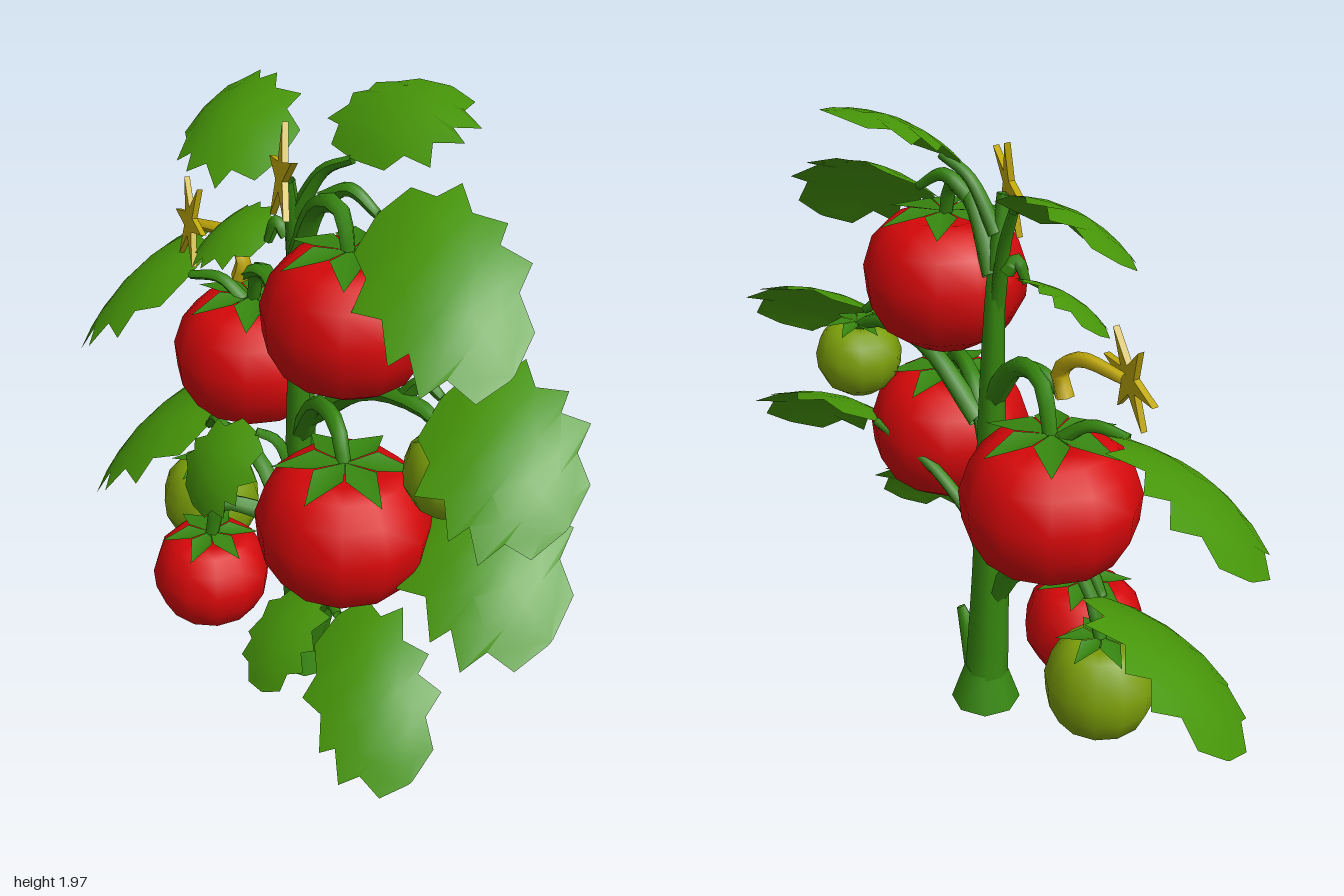
import * as THREE from 'three';
import { toCreasedNormals } from 'three/addons/utils/BufferGeometryUtils.js';

const mat = (name, color, side = THREE.FrontSide) => Object.assign(new THREE.MeshStandardMaterial({ color, side }), { name });
const V = (p) => new THREE.Vector3(...p);
const { lerp } = THREE.MathUtils;

// Tube whose radius shrinks steadily along its path
function taperedTube(points, r0, r1, sides = 6, steps = 10) {
  const curve = new THREE.CatmullRomCurve3(points);
  const geo = new THREE.TubeGeometry(curve, steps, 1, sides);
  const pos = geo.attributes.position;
  const p = new THREE.Vector3();
  for (let i = 0; i < pos.count; i++) {
    const t = Math.floor(i / (sides + 1)) / steps;
    const c = curve.getPointAt(t);
    p.fromBufferAttribute(pos, i).sub(c).multiplyScalar(lerp(r0, r1, t)).add(c);
    pos.setXYZ(i, p.x, p.y, p.z);
  }
  geo.computeVertexNormals();
  return geo;
}

function indexedGeometry(verts, index) {
  const geo = new THREE.BufferGeometry();
  geo.setAttribute('position', new THREE.Float32BufferAttribute(verts, 3));
  geo.setIndex(index);
  return geo;
}

// Jagged half leaf: teeth alternate between lobe tips and notches
const ROWS = 10;
function leafEdge(i) {
  const m = i / ROWS;
  const swell = 0.58 * (1 - Math.pow(Math.abs(2 * m - 1), 3));
  const tooth = i % 2 === 1;
  const v = i === 0 || i === ROWS ? 0.02 : swell * (tooth ? 1 : 0.76);
  const lean = i > 0 && i < 4 ? -0.06 : 0.05;
  return [m, m + (tooth ? lean : 0), v];
}

// Leaf blade from base to tip; side sets its width and tilt
function leafGeometry(base, tip, side) {
  const along = tip.clone().sub(base);
  const n = new THREE.Vector3().crossVectors(side, along).normalize();
  if (n.y < 0) n.negate();
  const verts = [], index = [];
  for (const sign of [-1, 1]) {
    const start = verts.length / 3;
    for (let i = 0; i <= ROWS; i++) {
      const [m, eu, ev] = leafEdge(i);
      for (const c of [0, 0.5, 1]) {
        const u = lerp(m, eu, c), v = ev * c;
        const lift = along.length() * 0.62 * u * (1 - u) - 0.34 * v * v * side.length();
        verts.push(...base.clone().addScaledVector(along, u).addScaledVector(side, v * sign).addScaledVector(n, lift));
      }
    }
    for (let i = 0; i < ROWS; i++) for (let j = 0; j < 2; j++) {
      const a = start + i * 3 + j, d = a + 3;
      if (sign > 0) index.push(a, a + 1, d, a + 1, d + 1, d);
      else index.push(a, d, a + 1, a + 1, d, d + 1);
    }
  }
  return toCreasedNormals(indexedGeometry(verts, index), 0.45);
}

// Six broad pointed sepals on a unit fruit
function calyxGeometry() {
  const verts = [], index = [];
  for (let k = 0; k < 6; k++) {
    const a = (k / 6) * Math.PI * 2;
    const put = (r, da, y) => verts.push(r * Math.cos(a + da), y, r * Math.sin(a + da));
    put(0, 0, 1.06);
    put(0.4, -0.5, 1.1);
    put(0.82, 0, 0.95);
    put(0.4, 0.5, 1.1);
    index.push(k * 4, k * 4 + 2, k * 4 + 1, k * 4, k * 4 + 3, k * 4 + 2);
  }
  const geo = indexedGeometry(verts, index);
  geo.computeVertexNormals();
  return geo;
}

export function createModel() {
  const leafGreen = mat('leaf green', 0x479709, THREE.DoubleSide);
  const stemGreen = mat('stem green', 0x36860f, THREE.DoubleSide);
  const ripeRed = mat('ripe red', 0xd60709);
  const unripeGreen = mat('unripe green', 0x7b9e0a);
  const petalYellow = mat('petal yellow', 0xc4ac0c);

  const model = new THREE.Group();
  model.name = 'tomatoPlant';
  const add = (name, geometry, material, parent = model) => {
    const mesh = new THREE.Mesh(geometry, material);
    mesh.name = name;
    parent.add(mesh);
    return mesh;
  };

  // Main stem and its flared foot
  const stemPath = [[0.02, 0.1, -0.06], [0.01, 0.5, -0.05], [0, 1.1, -0.05], [-0.02, 1.5, -0.05], [-0.01, 1.73, -0.01]];
  add('mainStem', taperedTube(stemPath.map(V), 0.07, 0.02, 8, 16), stemGreen);
  const foot = add('stemFoot', new THREE.CylinderGeometry(0.068, 0.112, 0.13, 8), stemGreen);
  foot.position.set(0.025, 0.065, -0.06);

  // Pointed shoots on the stem
  const shoot = (from, to, r) => add('shoot', taperedTube([V(from), V(to)], r, r * 0.25, 5, 3), stemGreen);
  shoot([0.05, 0.1, -0.05], [0.15, 0.29, -0.05], 0.06);
  shoot([0.02, 0.57, -0.05], [0.1, 0.73, -0.07], 0.035);
  shoot([0, 0.6, -0.07], [0, 0.73, -0.15], 0.035);

  // Leaf on a bowed stalk that starts at root
  const wide = [0, 0.25, -0.41];
  function leaf(root, base, tip, side = wide, scale = 1) {
    const [r, b] = [V(root), V(base)];
    const bow = r.clone().lerp(b, 0.5);
    bow.y += 0.05;
    add('leafStalk', taperedTube([r, bow, b], 0.026, 0.014), stemGreen);
    add('leaf', leafGeometry(b, V(tip), V(side).multiplyScalar(scale)), leafGreen);
  }
  leaf([-0.01, 1.62, -0.04], [0.16, 1.82, -0.09], [0.23, 1.97, -0.39], [0.4, 0, 0.04]);
  leaf([0.1, 1.7, -0.04], [0.27, 1.7, -0.08], [0.82, 1.46, -0.02], wide, 0.9);
  leaf([-0.02, 1.4, -0.05], [-0.14, 1.73, -0.1], [-0.6, 1.73, -0.19], wide, 0.75);
  leaf([-0.07, 1.53, -0.06], [-0.12, 1.5, -0.03], [-0.39, 1.42, -0.02], wide, 0.5);
  leaf([-0.36, 1.13, -0.17], [-0.57, 1.2, -0.09], [-0.99, 0.94, -0.08]);
  leaf([-0.36, 0.69, -0.06], [-0.5, 0.66, -0.09], [-0.97, 0.34, -0.08]);
  leaf([0.42, 1.21, -0.06], [0.53, 1.24, -0.09], [0.99, 1.05, -0.09], wide, 0.95);
  leaf([0.01, 0.62, -0.06], [0.45, 0.89, -0.13], [0.99, 0.67, -0.08]);
  leaf([0.01, 0.38, -0.04], [0.4, 0.53, 0.16], [0.84, 0.27, 0.29], [0.08, 0.2, -0.29]);
  leaf([0.15, 0.54, 0.04], [0.27, 0.55, 0.13], [0.31, 0.3, 0.38], [0.22, 0.06, -0.03]);
  leaf([0, 0.74, -0.03], [-0.09, 0.89, 0.05], [-0.23, 0.61, 0.2], [0.23, -0.08, 0.05]);

  // Fruit of radius r and half height h, hung on a stalk arching up to peak
  const profile = [[0, -1], [0.42, -0.93], [0.78, -0.65], [0.97, -0.22], [1, 0.2], [0.88, 0.65], [0.66, 0.92], [0.4, 0.98], [0, 0.86]];
  const body = new THREE.LatheGeometry(profile.map(([x, y]) => new THREE.Vector2(x, y)), 12);
  const calyx = calyxGeometry();
  function fruit(name, color, at, r, h, root, peak) {
    const start = V(root), end = V(at);
    end.y += h * 0.88;
    const path = [start, start.clone().lerp(end, 0.42), start.clone().lerp(end, 0.82), end];
    path[1].y = peak - 0.02;
    path[2].y = peak;
    add('fruitStalk', taperedTube(path, 0.036, 0.02), stemGreen);
    const group = new THREE.Group();
    group.name = name;
    add('fruitBody', body, color, group);
    add('calyx', calyx, stemGreen, group);
    group.position.set(...at);
    group.scale.set(r, h, r);
    group.rotation.y = at[0] * 5;
    model.add(group);
  }
  fruit('ripeFruit', ripeRed, [0.25, 1.395, 0], 0.248, 0.205, [-0.01, 1.5, -0.05], 1.71);
  fruit('ripeFruit', ripeRed, [-0.37, 0.95, -0.18], 0.258, 0.21, [-0.01, 1.12, -0.05], 1.3);
  fruit('ripeFruit', ripeRed, [0.365, 0.81, 0.11], 0.258, 0.21, [0, 0.88, -0.05], 1.11);
  fruit('ripeFruit', ripeRed, [-0.22, 0.31, 0.14], 0.19, 0.16, [-0.08, 0.52, -0.04], 0.59);
  fruit('unripeFruit', unripeGreen, [-0.5, 0.35, -0.09], 0.168, 0.16, [0, 0.4, -0.05], 0.69);
  fruit('unripeFruit', unripeGreen, [0.61, 1.04, -0.06], 0.138, 0.12, [0.08, 1, -0.03], 1.2);

  // Star flowers
  function flower(at, petals, turn, yaw) {
    const star = new THREE.Shape();
    for (let i = 0; i < petals * 2; i++) {
      const a = turn + (i / petals) * Math.PI, r = i % 2 ? 0.045 : 0.145;
      star[i ? 'lineTo' : 'moveTo'](r * Math.cos(a), r * Math.sin(a));
    }
    const petalMesh = add('flower', new THREE.ExtrudeGeometry(star, { depth: 0.018, bevelEnabled: false }), petalYellow);
    petalMesh.position.set(...at);
    petalMesh.rotation.set(-0.15, yaw, 0);
  }
  flower([-0.01, 1.745, 0], 5, 1.8, -0.53);
  flower([-0.57, 1.38, -0.11], 6, 1.1, -0.4);

  // Hooked stalk of the side flower
  const hook = [[-0.36, 1.26, -0.12], [-0.34, 1.33, -0.12], [-0.41, 1.39, -0.12], [-0.56, 1.38, -0.11]];
  add('flowerStalk', taperedTube(hook.map(V), 0.028, 0.016), petalYellow);
  add('flowerStalkBase', taperedTube([V([-0.2, 1.3, -0.12]), V([-0.28, 1.31, -0.13]), V([-0.36, 1.27, -0.12])], 0.02, 0.022), stemGreen);

  return model;
}
